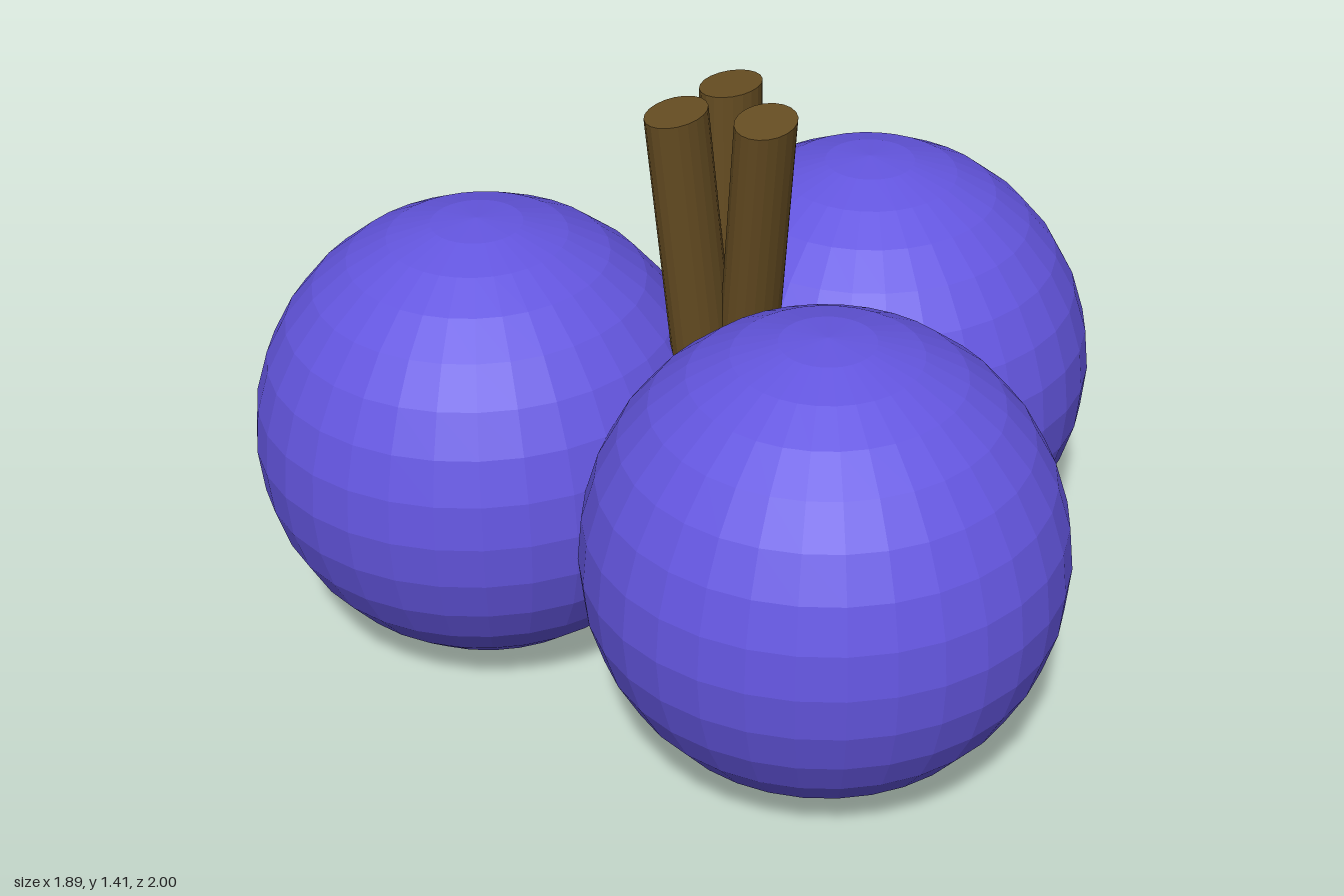
import * as THREE from 'three';

export function createModel() {
  const group = new THREE.Group();
  const berryBlue = new THREE.MeshStandardMaterial({ color: 0x6456e0, flatShading: true });
  berryBlue.name = 'berryBlue';
  const stemBrown = new THREE.MeshStandardMaterial({ color: 0x664d22, flatShading: true });
  stemBrown.name = 'stemBrown';

  // Three overlapping round berries
  const r = 0.535;
  const berryGeometry = new THREE.SphereGeometry(r, 32, 16);
  [['backBerry', -0.41, -0.465], ['leftBerry', 0.41, 0], ['frontBerry', -0.295, 0.465]].forEach(([name, x, z]) => {
    const berry = new THREE.Mesh(berryGeometry, berryBlue);
    berry.name = name;
    berry.position.set(x, r, z);
    group.add(berry);
  });

  // Stems rise from the hollow between the berries; their section is wider along x
  const widen = 1.35;
  const up = new THREE.Vector3(0, 1, 0);
  const addStem = (name, base, top) => {
    const a = new THREE.Vector3(base[0] / widen, base[1], base[2]);
    const b = new THREE.Vector3(top[0] / widen, top[1], top[2]);
    const axis = b.clone().sub(a);
    const geometry = new THREE.CylinderGeometry(0.059, 0.059, axis.length(), 20);
    geometry.applyQuaternion(new THREE.Quaternion().setFromUnitVectors(up, axis.normalize()));
    const mid = a.add(b).multiplyScalar(0.5);
    geometry.translate(mid.x, mid.y, mid.z);
    geometry.scale(widen, 1, 1);
    const stem = new THREE.Mesh(geometry, stemBrown);
    stem.name = name;
    group.add(stem);
  };
  addStem('uprightStem', [-0.05, 0.62, -0.022], [-0.05, 1.41, -0.022]);
  addStem('sideStem', [-0.13, 0.62, -0.022], [-0.225, 1.405, -0.022]);
  addStem('frontStem', [-0.045, 0.62, 0.01], [-0.125, 1.4, 0.145]);

  return group;
}
